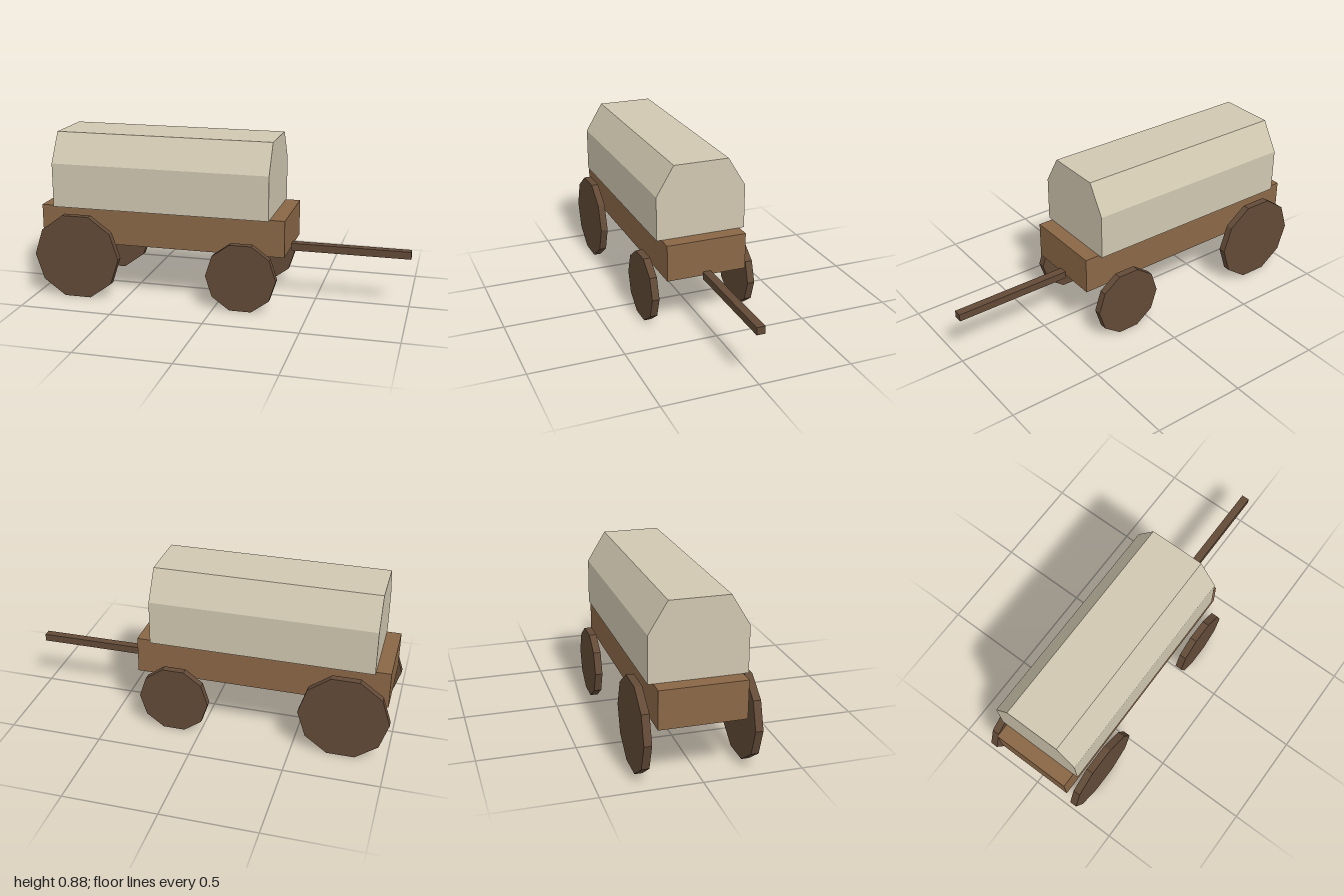
import * as THREE from 'three';

const material = (color) => new THREE.MeshStandardMaterial({ color, flatShading: true });

export function createModel() {
  const model = new THREE.Group();
  model.name = 'coveredWagon';
  const plank = material(0x8a6746);
  const darkWood = material(0x624a37);
  const canvas = material(0xd0c7b0);

  const add = (name, geometry, mat, x, y, z) => {
    const mesh = new THREE.Mesh(geometry, mat);
    mesh.name = name;
    mesh.position.set(x, y, z);
    model.add(mesh);
  };

  // Wagon bed and the pole it is pulled by
  add('bed', new THREE.BoxGeometry(1.345, 0.197, 0.436), plank, -0.3075, 0.3885, 0);
  add('drawPole', new THREE.BoxGeometry(0.635, 0.04, 0.044), darkWood, 0.6825, 0.29, 0);

  // Canvas cover: bevelled cross-section extruded along the bed
  const profile = new THREE.Shape([
    [-0.245, 0], [0.245, 0], [0.245, 0.238], [0.15, 0.395], [-0.15, 0.395], [-0.245, 0.238],
  ].map(([z, y]) => new THREE.Vector2(z, y)));
  const cover = new THREE.ExtrudeGeometry(profile, { depth: 1.187, bevelEnabled: false });
  cover.rotateY(Math.PI / 2);
  add('cover', cover, canvas, -0.902, 0.487, 0);

  // Ten-sided wheels resting on a flat, larger pair at the tail
  const wheels = [
    { name: 'rearWheel', radius: 0.238, x: -0.763 },
    { name: 'frontWheel', radius: 0.189, x: 0.147 },
  ];
  for (const { name, radius, x } of wheels) {
    const wheel = new THREE.CylinderGeometry(radius, radius, 0.039, 10);
    wheel.rotateY(Math.PI / 2).rotateX(Math.PI / 2);
    const y = radius * Math.cos(Math.PI / 10);
    for (const side of [-1, 1]) {
      add(name + (side > 0 ? 'Near' : 'Far'), wheel, darkWood, x, y, side * 0.2705);
    }
  }
  return model;
}
